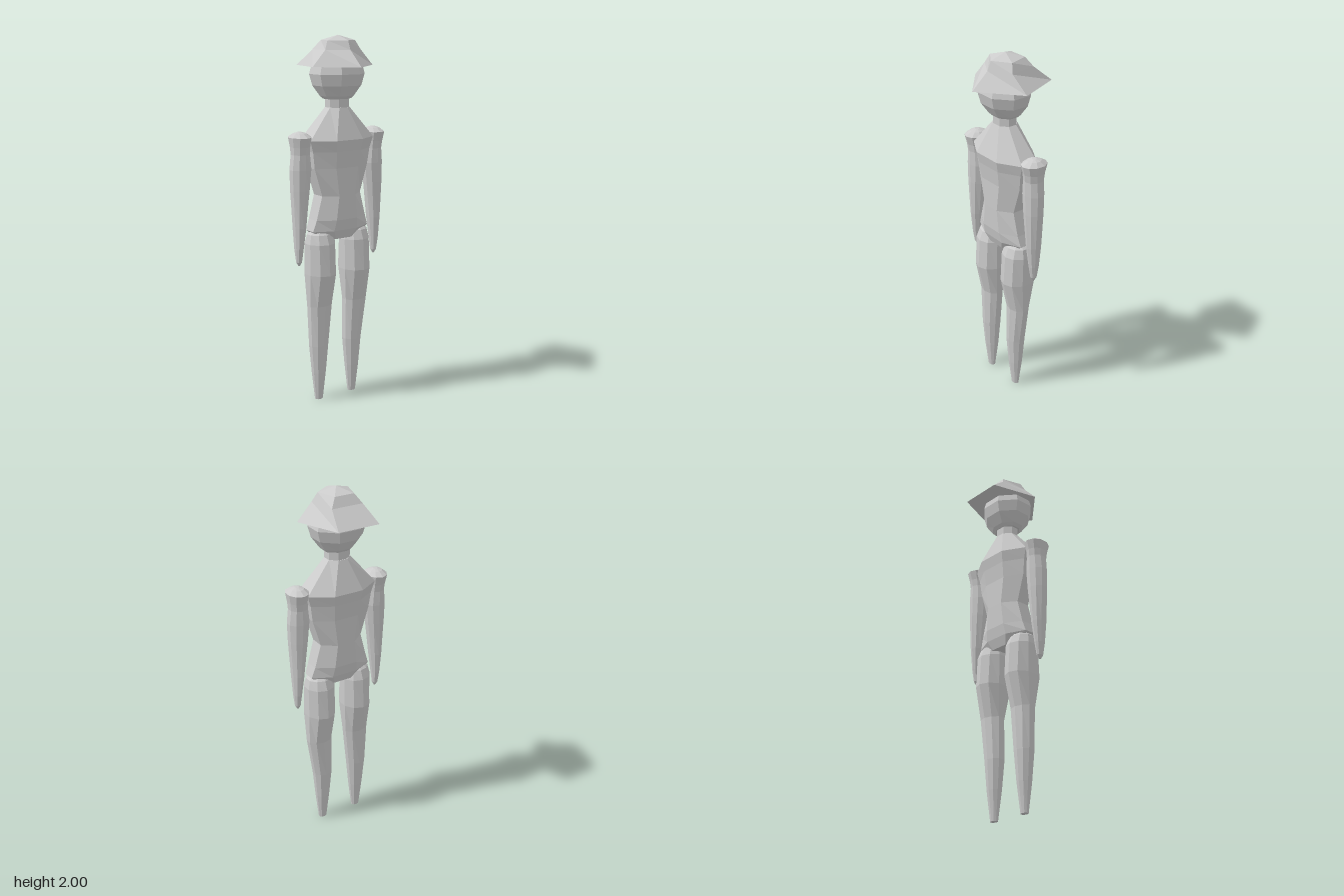
import * as THREE from 'three';

const material = new THREE.MeshStandardMaterial({ color: 0xcccccc, flatShading: true });

// Closed skin over loops of points, listed from bottom to top.
function skin(name, loops) {
  const n = loops[0].length, pos = [];
  const tri = (...pts) => pts.forEach((p) => pos.push(...p));
  const centre = (loop) => [0, 1, 2].map((k) => loop.reduce((s, p) => s + p[k], 0) / n);
  const low = centre(loops[0]), high = centre(loops[loops.length - 1]);
  for (let j = 0; j < n; j++) {
    const k = (j + 1) % n;
    for (let i = 0; i < loops.length - 1; i++) {
      const a = loops[i], b = loops[i + 1];
      tri(a[j], b[j], b[k]);
      tri(a[j], b[k], a[k]);
    }
    tri(low, loops[0][j], loops[0][k]);
    const top = loops[loops.length - 1];
    tri(high, top[k], top[j]);
  }
  const geo = new THREE.BufferGeometry();
  geo.setAttribute('position', new THREE.Float32BufferAttribute(pos, 3));
  geo.computeVertexNormals();
  const mesh = new THREE.Mesh(geo, material);
  mesh.name = name;
  return mesh;
}

// Elliptical rings [y, half width x, half depth z, centre z]; turned puts flats on the axes.
function rings(name, sides, rows, turned = false) {
  const grow = turned ? 1 / Math.cos(Math.PI / sides) : 1;
  return skin(name, rows.map(([y, rx, rz, cz = 0]) =>
    Array.from({ length: sides }, (_, j) => {
      const a = ((j + (turned ? 0.5 : 0)) / sides) * Math.PI * 2;
      return [rx * grow * Math.cos(a), y, cz + rz * grow * Math.sin(a)];
    })));
}

export function createModel() {
  const model = new THREE.Group();
  model.name = 'figure';

  // Torso, from crotch to base of neck
  model.add(rings('torso', 8, [
    [0.92, 0.06, 0.12], [0.97, 0.08, 0.18], [1.03, 0.092, 0.16], [1.16, 0.095, 0.125],
    [1.31, 0.095, 0.172], [1.4, 0.107, 0.185], [1.46, 0.12, 0.204], [1.625, 0.058, 0.063],
  ], true));

  // Neck and head
  model.add(rings('neck', 8, [[1.6, 0.055, 0.063], [1.69, 0.055, 0.063]], true));
  model.add(rings('head', 8, [
    [1.67, 0.06, 0.075], [1.685, 0.075, 0.09], [1.74, 0.112, 0.127], [1.80, 0.127, 0.143],
    [1.86, 0.112, 0.127], [1.91, 0.06, 0.07],
  ], true));

  // Five-cornered hat: brim, crown side, crown edge and shallow peak
  const level = (y, pts) => pts.map(([x, z]) => [x, y, z]);
  model.add(skin('hat', [
    level(1.84, [[0.207, -0.005], [0.045, 0.186], [-0.208, 0.118], [-0.208, -0.118], [0.03, -0.213]]),
    level(1.925, [[0.112, -0.005], [0.045, 0.107], [-0.109, 0.082], [-0.109, -0.095], [0.045, -0.12]]),
    level(1.973, [[0.091, -0.005], [0.029, 0.082], [-0.079, 0.05], [-0.079, -0.061], [0.029, -0.095]]),
    level(2.0, Array(5).fill([0, -0.005])),
  ]));

  for (const [side, s] of [['left', 1], ['right', -1]]) {
    // Tapering arm with a capped shoulder
    model.add(rings(side + 'Arm', 10, [
      [0.79, 0.005, 0.005, 0.25 * s], [0.81, 0.018, 0.016, 0.25 * s],
      [0.88, 0.03, 0.024, 0.25 * s], [1.0, 0.043, 0.036, 0.246 * s],
      [1.2, 0.052, 0.054, 0.24 * s], [1.31, 0.054, 0.061, 0.236 * s],
      [1.39, 0.054, 0.052, 0.236 * s], [1.43, 0.06, 0.053, 0.238 * s],
      [1.48, 0.074, 0.06, 0.239 * s], [1.5, 0.04, 0.036, 0.239 * s],
      [1.508, 0.012, 0.012, 0.239 * s],
    ]));
    // Leg with a wide thigh and blunt pointed foot
    const foot = s > 0 ? 0.125 : -0.1;
    model.add(rings(side + 'Leg', 10, [
      [0, 0.018, 0.024, foot], [0.16, 0.038, 0.042, foot],
      [0.32, 0.05, 0.057, foot], [0.55, 0.056, 0.074, 0.118 * s],
      [0.73, 0.098, 0.086, 0.114 * s], [0.9, 0.087, 0.086, 0.114 * s],
      [0.95, 0.066, 0.074, 0.114 * s], [0.975, 0.04, 0.045, 0.114 * s],
    ]));
  }
  return model;
}
